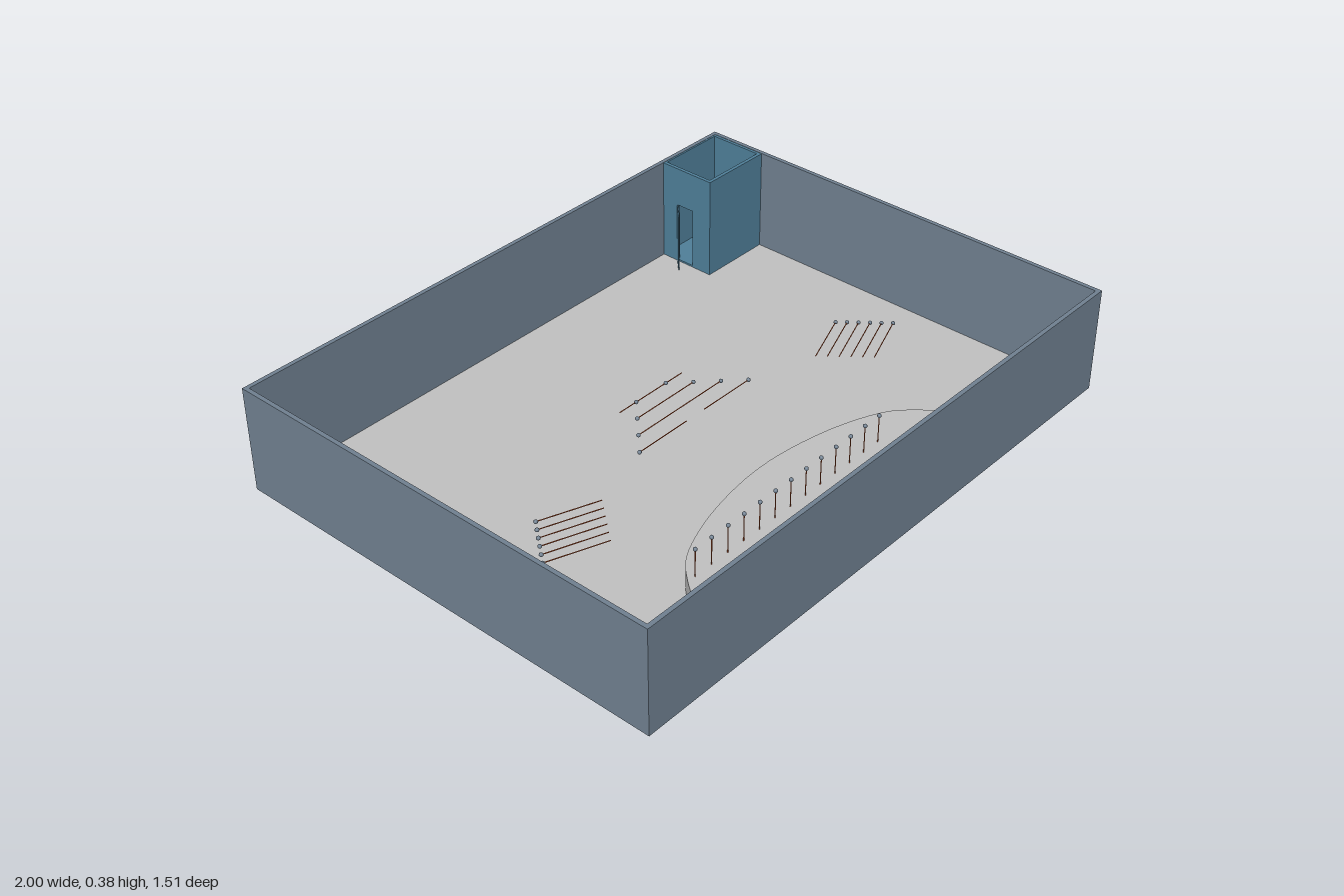
import * as THREE from 'three';
import { toCreasedNormals } from 'three/addons/utils/BufferGeometryUtils.js';

const mat = (name, color) => {
  const m = new THREE.MeshStandardMaterial({ color });
  m.name = name;
  return m;
};

export function createModel() {
  const wallGrey = mat('slate grey', 0x708090);
  const floorGrey = mat('light grey', 0xc0c0c0);
  const boothBlue = mat('booth blue', 0x4f7f99);
  const rust = mat('rust orange', 0xb5532a);
  const room = new THREE.Group();
  room.name = 'room';

  const add = (name, geometry, material, parent = room) => {
    const mesh = new THREE.Mesh(geometry, material);
    mesh.name = name;
    parent.add(mesh);
    return mesh;
  };
  // box given by its lower and upper limits
  const box = (name, x0, x1, y0, y1, z0, z1, material) =>
    add(name, new THREE.BoxGeometry(x1 - x0, y1 - y0, z1 - z0), material)
      .position.set((x0 + x1) / 2, (y0 + y1) / 2, (z0 + z1) / 2);

  // floor and outer walls
  const floorY = 0.037, top = 0.385, W = 1, D = 0.755, t = 0.014;
  box('floor', -0.986, 0.986, 0.03, floorY, -0.742, 0.742, floorGrey);
  for (const s of [-1, 1]) {
    const [z0, z1] = s > 0 ? [D - t, D] : [-D, t - D];
    box(s > 0 ? 'frontWall' : 'backWall', -W, W, 0.035, top, z0, z1, wallGrey);
    const [x0, x1] = s > 0 ? [W - t, W] : [-W, t - W];
    box(s > 0 ? 'leftWall' : 'rightWall', x0, x1, 0.035, top, t - D, D - t, wallGrey);
  }

  // curved stage against the front wall
  const half = [[-0.7, 0.741], [-0.645, 0.62], [-0.555, 0.49], [-0.46, 0.41], [-0.27, 0.345]];
  const axis = -0.038;
  const outline = [...half, [axis, 0.317], ...half.slice().reverse().map(([x, z]) => [2 * axis - x, z])];
  const curve = new THREE.SplineCurve(outline.map(([x, z]) => new THREE.Vector2(x, z)));
  const stage = new THREE.ExtrudeGeometry(new THREE.Shape(curve.getPoints(60)), { depth: 0.07, bevelEnabled: false });
  stage.rotateX(Math.PI / 2).translate(0, floorY + 0.07, 0);
  add('stage', toCreasedNormals(stage, 0.5), floorGrey);

  // corner booth with a doorway in its side wall
  const bx = 0.727, bz = -0.54, bt = 0.012, boothTop = 0.384;
  box('boothFloor', bx, 0.985, floorY, floorY + 0.006, -0.741, bz, boothBlue);
  box('boothFrontWall', bx, 0.986, floorY, boothTop, bz - bt, bz, boothBlue);
  box('boothLeftWall', 0.976, 0.986, floorY, boothTop, -0.741, bz - bt, boothBlue);
  box('boothBackWall', bx, 0.976, floorY, boothTop, -0.741, -0.735, boothBlue);
  box('boothSideWallRear', bx, bx + bt, floorY, boothTop, -0.735, -0.68, boothBlue);
  box('boothSideWallFront', bx, bx + bt, floorY, boothTop, -0.615, bz - bt, boothBlue);
  box('boothLintel', bx, bx + bt, 0.25, boothTop, -0.68, -0.615, boothBlue);

  // open door
  const door = add('boothDoor', new THREE.BoxGeometry(0.064, 0.21, 0.004), boothBlue);
  door.position.set(0.705, floorY + 0.106, -0.657);
  door.rotation.y = Math.PI / 4;

  // thin rods with a grey knob at one end
  const rodGeo = new THREE.CylinderGeometry(0.0016, 0.0016, 0.2, 6).translate(0, -0.1, 0);
  const knobGeo = new THREE.SphereGeometry(0.0065, 10, 8);
  const up = new THREE.Vector3(0, 1, 0);
  const rod = (name, x, y, z, direction) => {
    const group = new THREE.Group();
    group.name = name;
    add('shaft', rodGeo, rust, group);
    add('knob', knobGeo, wallGrey, group);
    group.position.set(x, y, z);
    group.quaternion.setFromUnitVectors(up, direction.clone().negate().normalize());
    room.add(group);
  };

  // two rows of upright rods on the stage
  const down = new THREE.Vector3(0, -1, 0);
  for (const z of [0.495, 0.635])
    for (let i = 0; i < 13; i++) rod('stageRod', -0.53 + i * 0.0667, 0.2, z, down);

  // mirrored level rods: slanted side banks and a central wedge
  const level = 0.165;
  for (const s of [-1, 1]) {
    const slant = new THREE.Vector3(-s * 0.187, 0, 0.07);
    for (let i = 0; i < 6; i++)
      rod('sideRod', axis + s * (0.656 + i * 0.0224), level, 0.067 + i * 0.0273, slant);
    const inward = new THREE.Vector3(-s, 0, 0);
    for (let i = 0; i < 4; i++)
      rod('centreRod', axis + s * (0.239 - i * 0.058), level, 0.066 - i * 0.0575, inward);
  }
  return room;
}
